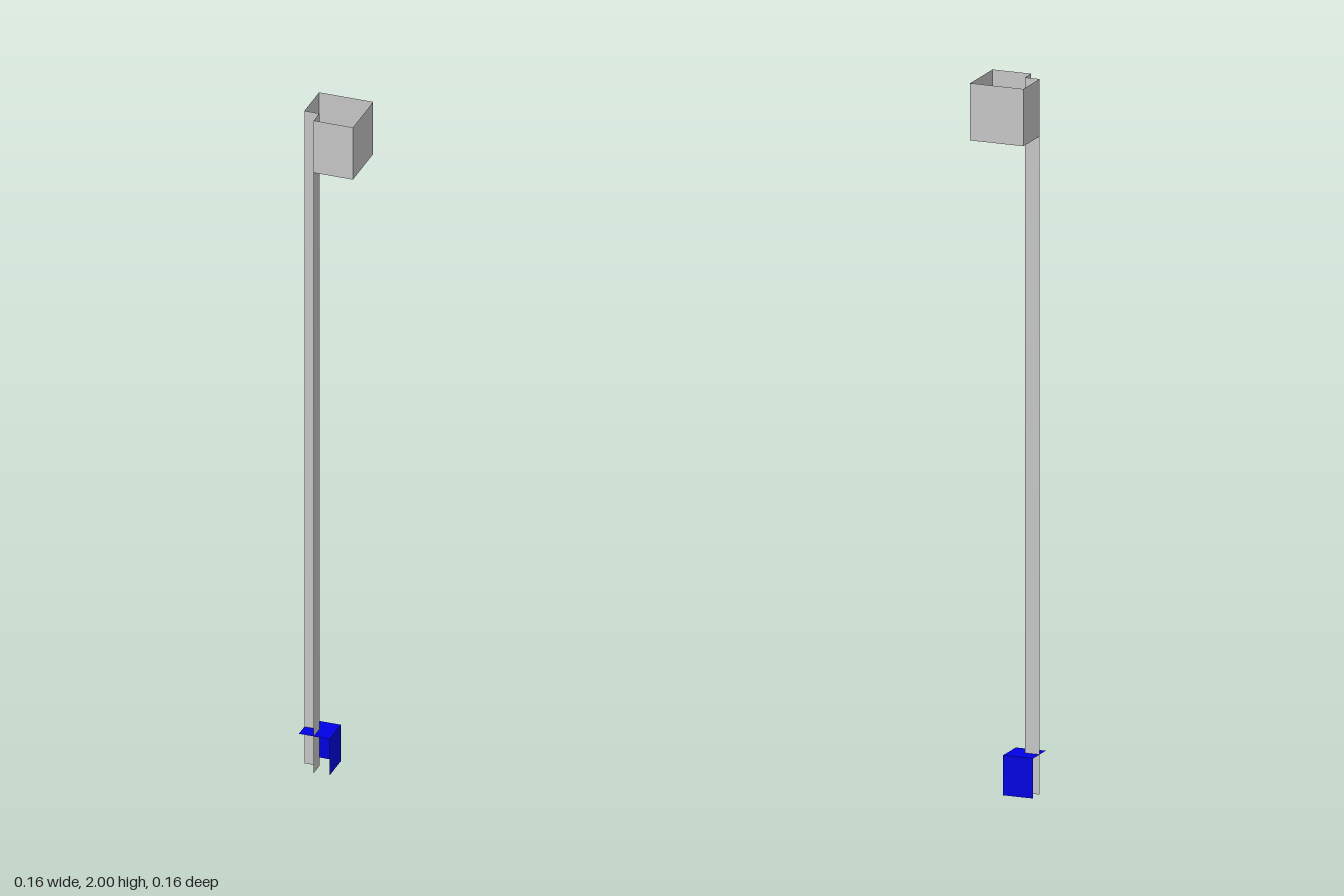
import * as THREE from 'three';
import { mergeGeometries } from 'three/addons/utils/BufferGeometryUtils.js';

const R = 0.078;   // half width of the bin
const N = 0.035;   // inner corner of the notch
const G = 0.01;    // outer reach of the blue guard

const sheet = (color) => new THREE.MeshStandardMaterial({ color, flatShading: true, side: THREE.DoubleSide });

// Upright thin sheets following a path of [x, z] points
function walls(path, y0, y1) {
  const parts = [];
  for (let i = 0; i < path.length - 1; i++) {
    const [ax, az] = path[i], [bx, bz] = path[i + 1];
    const g = new THREE.PlaneGeometry(Math.hypot(bx - ax, bz - az), y1 - y0);
    g.rotateY(-Math.atan2(bz - az, bx - ax));
    g.translate((ax + bx) / 2, (y0 + y1) / 2, (az + bz) / 2);
    parts.push(g);
  }
  return mergeGeometries(parts);
}

// Level thin sheet with an outline of [x, z] points
function plate(outline, y) {
  const shape = new THREE.Shape(outline.map(([x, z]) => new THREE.Vector2(x, z)));
  return new THREE.ShapeGeometry(shape).rotateX(Math.PI / 2).translate(0, y, 0);
}

export function createModel() {
  const model = new THREE.Group();
  const grey = sheet(0xcccccc), blue = sheet(0x0000e6);
  const add = (name, geometry, material) => {
    const mesh = new THREE.Mesh(geometry, material);
    mesh.name = name;
    model.add(mesh);
  };

  // Angle-section post, which also lines the notch of the bin
  add('anglePost', walls([[-R, N], [-N, N], [-N, R]], 0, 2), grey);

  // Open-topped bin with one corner notched out
  const rim = [[-N, R], [R, R], [R, -R], [-R, -R], [-R, N]];
  add('binWalls', walls(rim, 1.84, 2), grey);
  add('binFloor', plate([...rim, [-N, N]], 1.84), grey);

  // Blue guard at the foot: two sides and a lid
  add('guardSides', walls([[-R, -G], [G, -G], [G, R]], 0, 0.112), blue);
  add('guardLid', plate([[-R, -G], [G, -G], [G, R], [-R, R]], 0.112), blue);

  return model;
}
